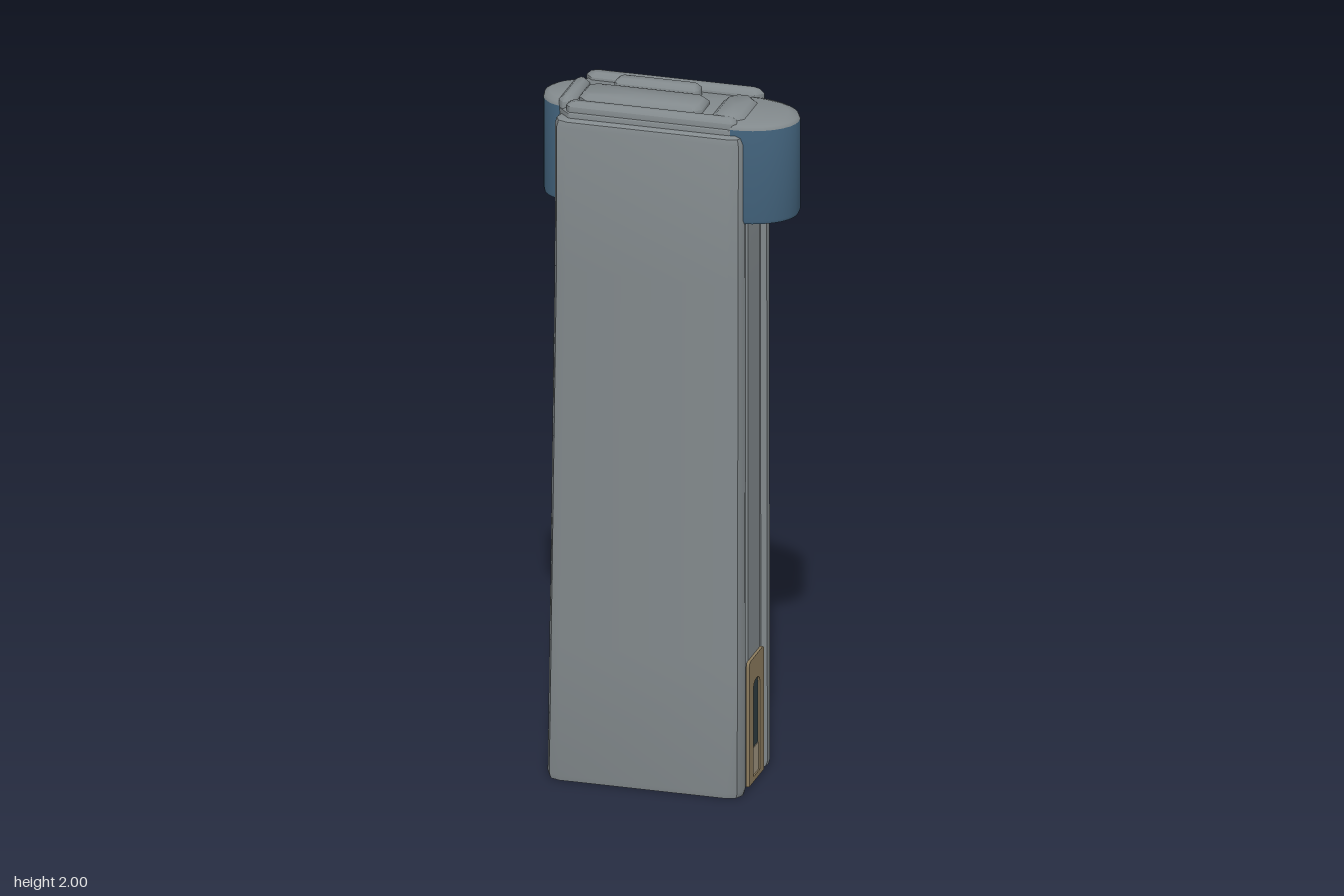
import * as THREE from 'three';
import { toCreasedNormals } from 'three/addons/utils/BufferGeometryUtils.js';

const mat = (name, color, side = THREE.FrontSide) =>
  Object.assign(new THREE.MeshStandardMaterial({ color, side }), { name });

// Skin between closed rings of [x, y, z] points with equal counts
function loft(rings, crease = 0.6) {
  const n = rings[0].length, idx = [];
  for (let i = 0; i < rings.length - 1; i++) for (let j = 0; j < n; j++) {
    const k = (j + 1) % n, a = i * n + j, b = i * n + k;
    idx.push(a, b, b + n, a, b + n, a + n);
  }
  const g = new THREE.BufferGeometry();
  g.setAttribute('position', new THREE.Float32BufferAttribute(rings.flat(2), 3));
  g.setIndex(idx);
  return toCreasedNormals(g, crease);
}

// Outline of [x, z] points placed at a height and scaled about (cx, cz)
const ringAt = (outline, y, sx = 1, sz = sx, cx = -0.04, cz = 0) =>
  outline.map(([x, z]) => [cx + (x - cx) * sx, y, cz + (z - cz) * sz]);

// Chamfered block whose top edge is rounded in
function pad(x0, x1, z0, z1, y0, y1, c = 0.02, bevel = 0.012) {
  const cx = (x0 + x1) / 2, cz = (z0 + z1) / 2;
  const o = [[x1 - c, z1], [x1, z1 - c], [x1, z0 + c], [x1 - c, z0],
    [x0 + c, z0], [x0, z0 + c], [x0, z1 - c], [x0 + c, z1]];
  const sx = 1 - 2 * bevel / (x1 - x0), sz = 1 - 2 * bevel / (z1 - z0);
  return loft([ringAt(o, y0, 1, 1, cx, cz), ringAt(o, y1 - bevel, 1, 1, cx, cz),
    ringAt(o, y1, sx, sz, cx, cz), ringAt(o, y1, 0, 0, cx, cz)], 0.9);
}

export function createModel() {
  const group = new THREE.Group();
  const grey = mat('grey metal', 0x82898c);
  const blue = mat('blue plastic', 0x44657f);
  const tan = mat('worn tan', 0x8c7c5e);
  const paleTan = mat('pale tan', 0xa19580);
  const dark = mat('dark opening', 0x2f3d41);
  const add = (name, geometry, material, x = 0, y = 0, z = 0) => {
    const m = new THREE.Mesh(geometry, material);
    m.name = name;
    m.position.set(x, y, z);
    group.add(m);
    return m;
  };

  // Sleeve: ribbed sides, open underneath, slightly narrower at the top
  const half = [[0.2, 0.16], [0.228, 0.15], [0.24, 0.125], [0.238, 0.105],
    [0.223, 0.095], [0.221, 0.068], [0.231, 0.058]];
  const right = [...half, ...half.map(([x, z]) => [x, -z]).reverse()];
  const left = right.map(([x, z]) => [-0.08 - x, -z]);
  const outline = [...right, ...left];
  const taper = (y, s = 1, sz = s) => ringAt(outline, y, s, sz)
    .map(([x, h, z]) => [x < -0.04 ? x + 0.018 * Math.min(1, y / 1.5) : x, h, z * (1 - 0.04 * y)]);
  add('sleeve', loft([
    taper(0.7, 0), taper(0.7, 0.93), taper(0.01, 0.93), taper(0, 0.96), taper(0, 0.985),
    taper(0.015), taper(0.4), taper(1), taper(1.5), taper(1.915),
    taper(1.932, 0.985, 0.97), taper(1.938, 0.95, 0.92), taper(1.938, 0),
  ]), grey);

  // Blue patches inside the open bottom
  add('innerFrontPatch', new THREE.BoxGeometry(0.4, 0.13, 0.008), blue, -0.05, 0.085, 0.143);
  add('innerSidePatch', new THREE.BoxGeometry(0.008, 0.16, 0.09), blue, -0.265, 0.12, 0.01);

  // Stepped top with rails and raised pads
  add('topCap', pad(-0.295, 0.232, -0.143, 0.127, 1.92, 1.966, 0.035, 0.015), grey);
  add('backRail', pad(-0.28, 0.225, -0.14, -0.094, 1.95, 1.985), grey);
  add('frontRail', pad(-0.27, 0.215, 0.084, 0.124, 1.95, 1.982, 0.012), grey);
  add('centrePad', pad(-0.25, 0.1, -0.034, 0.076, 1.95, 1.988), grey);
  add('raisedPad', pad(-0.18, 0.06, -0.088, -0.036, 1.95, 2, 0.01), grey);
  add('leftEndPad', pad(0.13, 0.235, -0.08, 0.115, 1.95, 1.985, 0.03, 0.02), grey);
  add('rightEndPad', pad(-0.3, -0.255, -0.075, 0.1, 1.94, 1.985, 0.015), grey);

  // Rounded blue clips on both ends with grey tops
  const clip = (name, x0, w, zc, d, start) => {
    const o = Array.from({ length: 17 }, (_, i) => {
      const a = start - Math.PI * i / 16;
      return [x0 + w * Math.cos(a), zc + d * Math.sin(a)];
    });
    // Outlines run from +z to -z on the +x side
    if (w * Math.cos(o.length ? start - Math.PI / 2 : 0) < 0) o.sort((p, q) => p[1] - q[1]);
    const at = (y, s) => ringAt(o, y, s, s, x0, zc);
    add(name, loft([at(1.68, 0), at(1.68, 0.97), at(1.69, 1), at(1.955, 1)]), blue);
    add(name + 'Top', loft([at(1.955, 1), at(1.965, 0.97), at(1.972, 0.8), at(1.972, 0)], 1), grey);
  };
  clip('leftClip', 0.2, 0.163, 0.01, 0.116, Math.PI / 2);
  clip('rightClip', -0.28, 0.085, 0, 0.09, -Math.PI / 2);

  // Arched tan surround with a slot near the bottom of the left side
  const arch = (path, hw, y0, y1, r) => {
    path.moveTo(-hw, y0);
    path.lineTo(hw, y0);
    path.lineTo(hw, y1 - r);
    path.quadraticCurveTo(hw, y1, hw - r, y1);
    path.lineTo(-hw + r, y1);
    path.quadraticCurveTo(-hw, y1, -hw, y1 - r);
    path.closePath();
    return path;
  };
  const plate = (shape, t) => new THREE.ExtrudeGeometry(shape, { depth: t, bevelEnabled: false })
    .rotateY(Math.PI / 2);
  const surround = arch(new THREE.Shape(), 0.07, 0.005, 0.37, 0.015);
  surround.holes.push(arch(new THREE.Path(), 0.031, 0.02, 0.3, 0.028));
  add('slotSurround', plate(surround, 0.009), tan, 0.23, 0, 0);
  add('slotOpening', plate(arch(new THREE.Shape(), 0.032, 0.1, 0.3, 0.028), 0.004), dark, 0.229, 0, 0);
  add('slotSill', plate(arch(new THREE.Shape(), 0.032, 0.005, 0.1, 0.002), 0.006), paleTan, 0.229, 0, 0);

  // Small tan mark on the opposite side
  add('sideMark', new THREE.BoxGeometry(0.008, 0.07, 0.15), tan, -0.309, 0.24, 0);
  return group;
}
